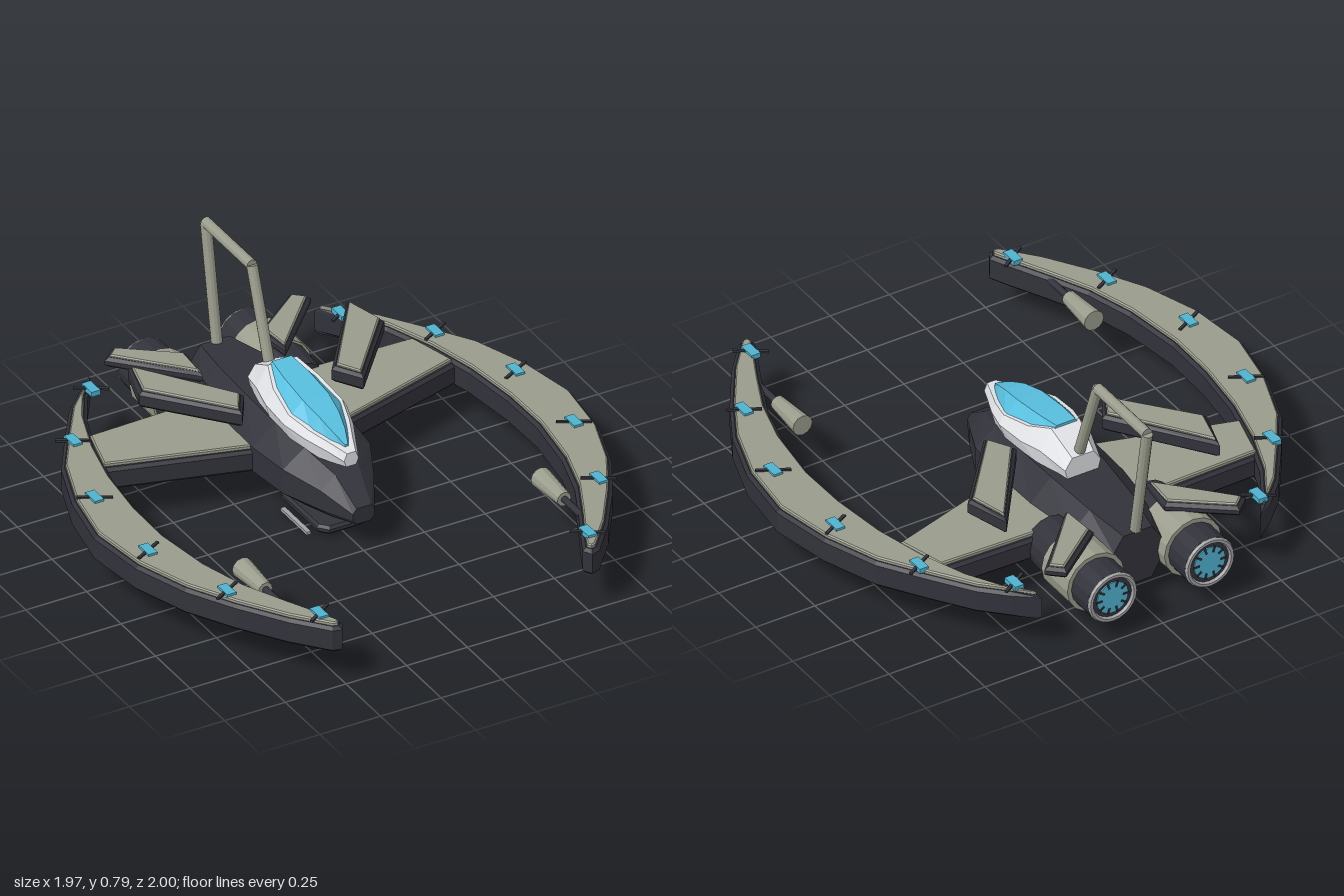
import * as THREE from 'three';

const mat = (name, color, flatShading = false) => {
  const m = new THREE.MeshStandardMaterial({ color });
  m.name = name;
  m.flatShading = flatShading;
  return m;
};

export function createModel() {
  const root = new THREE.Group();
  root.name = 'spacecraft';
  const dark = mat('dark hull', 0x32323b, true);
  const khaki = mat('khaki plating', 0x9a9c8c, true);
  const white = mat('white canopy frame', 0xe2e4e8, true);
  const glass = mat('blue glass', 0x58bfdf, true);
  const lamp = mat('blue lamp', 0x4fb3d0, true);
  const grey = mat('grey trim', 0xa2a2a4, true);

  const add = (name, geo, material, parent = root) => {
    const m = new THREE.Mesh(geo, material);
    m.name = name;
    parent.add(m);
    return m;
  };

  // Bevelled plate: [x, z] outline raised from y0 to y1
  const plate = (pts, y0, y1, bevel, inset = 0) => {
    const shape = new THREE.Shape(pts.map(([x, z]) => new THREE.Vector2(x, -z)));
    const g = new THREE.ExtrudeGeometry(shape, {
      depth: y1 - y0 - 2 * bevel, bevelEnabled: true, bevelSegments: 1,
      bevelSize: bevel, bevelThickness: bevel, bevelOffset: -bevel - inset,
    });
    return g.rotateX(-Math.PI / 2).translate(0, y0 + bevel, 0);
  };

  // Dark slab with an inset khaki top
  const slab = (name, pts, y0, y1, y2, inset, parent) => {
    add(name, plate(pts, y0, y1, 0.012), dark, parent);
    add(name + 'Top', plate(pts, y1 - 0.02, y2, 0.005, inset), khaki, parent);
  };

  // Skin over rings of [x, y], ordered front to back, each counterclockwise seen from the front
  const loft = (sections) => {
    const pos = [];
    const tri = (...v) => v.forEach((p) => pos.push(...p));
    const rings = sections.map(({ z, ring }) => ring.map(([x, y]) => [x, y, z]));
    const n = rings[0].length;
    for (let s = 0; s < rings.length - 1; s++) {
      const a = rings[s], b = rings[s + 1];
      for (let i = 0; i < n; i++) {
        const j = (i + 1) % n;
        tri(a[i], b[i], a[j]);
        tri(a[j], b[i], b[j]);
      }
    }
    const f = rings[0], r = rings[rings.length - 1];
    for (let i = 1; i < n - 1; i++) {
      tri(f[0], f[i], f[i + 1]);
      tri(r[0], r[i + 1], r[i]);
    }
    const g = new THREE.BufferGeometry();
    g.setAttribute('position', new THREE.Float32BufferAttribute(pos, 3));
    g.computeVertexNormals();
    return g;
  };
  // Symmetric ring from its right half, bottom to top
  const ring = (half) => [...half, ...half.slice().reverse().map(([x, y]) => [-x, y])];

  // Cylinder between two points
  const rod = (name, a, b, ra, rb, material, parent = root, sides = 12) => {
    const A = new THREE.Vector3(...a), B = new THREE.Vector3(...b);
    const d = B.clone().sub(A);
    const m = add(name, new THREE.CylinderGeometry(rb, ra, d.length(), sides), material, parent);
    m.position.copy(A).add(B).multiplyScalar(0.5);
    m.quaternion.setFromUnitVectors(new THREE.Vector3(0, 1, 0), d.normalize());
    return m;
  };

  // Hull: z, half width, bottom, lower side, upper side, top, bottom and top half widths
  add('hull', loft([
    [0.25, 0.045, 0.12, 0.14, 0.165, 0.185, 0.03, 0.03],
    [0.13, 0.11, 0.095, 0.14, 0.22, 0.27, 0.06, 0.05],
    [-0.02, 0.18, 0.075, 0.15, 0.25, 0.315, 0.09, 0.09],
    [-0.2, 0.2, 0.055, 0.15, 0.25, 0.33, 0.1, 0.11],
    [-0.42, 0.195, 0.042, 0.15, 0.25, 0.335, 0.1, 0.11],
    [-0.65, 0.165, 0.06, 0.15, 0.25, 0.32, 0.08, 0.09],
    [-0.83, 0.1, 0.08, 0.15, 0.24, 0.3, 0.06, 0.06],
  ].map(([z, w, yb, y1, y2, yt, wb, wt]) => ({ z, ring: ring([[wb, yb], [w, y1], [w, y2], [wt, yt]]) }))), dark);

  // Canopy frame: z, base half width, base y, side half width, side y, top half width, top y
  add('canopyFrame', loft([
    [0.16, 0.02, 0.31, 0.03, 0.335, 0.018, 0.365],
    [0.09, 0.045, 0.3, 0.06, 0.35, 0.045, 0.378],
    [0, 0.08, 0.295, 0.1, 0.365, 0.082, 0.395],
    [-0.1, 0.1, 0.3, 0.13, 0.38, 0.11, 0.415],
    [-0.24, 0.1, 0.3, 0.127, 0.39, 0.095, 0.445],
    [-0.34, 0.09, 0.3, 0.108, 0.4, 0.06, 0.48],
    [-0.46, 0.06, 0.31, 0.075, 0.37, 0.045, 0.415],
  ].map(([z, a, ya, b, yb, c, yc]) => ({ z, ring: ring([[a, ya], [b, yb], [c, yc]]) }))), white);

  // Canopy glass: z, lower half width and y, upper half width and y
  add('canopyGlass', loft([
    [0.125, 0.01, 0.35, 0.006, 0.38],
    [0.07, 0.045, 0.365, 0.025, 0.41],
    [0, 0.075, 0.38, 0.04, 0.438],
    [-0.1, 0.106, 0.405, 0.052, 0.46],
    [-0.24, 0.088, 0.435, 0.05, 0.478],
    [-0.345, 0.056, 0.465, 0.04, 0.488],
  ].map(([z, a, ya, b, yb]) => ({ z, ring: ring([[a, ya], [b, yb]]) }))), glass);

  // Tall roll bar behind the canopy
  const bar = [[0, 0.4, -0.43], [0, 0.765, -0.56], [0, 0.765, -0.895], [0, 0.3, -0.815]];
  for (let i = 0; i < 3; i++) rod('rollBar', bar[i], bar[i + 1], 0.021, 0.021, khaki);

  // Belly plate
  add('bellyPlate', plate([[-0.1, -0.17], [-0.07, -0.2], [0.07, -0.2], [0.1, -0.17],
    [0.1, 0.09], [0.07, 0.125], [-0.07, 0.125], [-0.1, 0.09]], 0.017, 0.05, 0.01), dark);

  const crescent = [
    [0.46, -0.92], [0.55, -0.85], [0.64, -0.76], [0.75, -0.6], [0.86, -0.43], [0.94, -0.21], [0.985, 0.03],
    [0.955, 0.28], [0.88, 0.5], [0.78, 0.68], [0.66, 0.86], [0.55, 0.99], [0.515, 1], [0.495, 0.965],
    [0.53, 0.89], [0.6, 0.75], [0.675, 0.59], [0.73, 0.4], [0.763, 0.16], [0.76, -0.05],
    [0.733, -0.28], [0.685, -0.48], [0.615, -0.67], [0.54, -0.8],
  ];
  const lamps = [[0.515, -0.82, 0.55], [0.745, -0.545, 0.52], [0.867, -0.175, 0.5],
    [0.877, 0.23, -0.5], [0.766, 0.605, -0.52], [0.553, 0.9, -0.6]];

  for (const s of [1, -1]) {
    const side = new THREE.Group();
    side.name = s > 0 ? 'leftSide' : 'rightSide';
    root.add(side);
    const flip = (pts) => pts.map(([x, z]) => [s * x, z]);

    // Crescent, wing and raised fins
    slab('crescent', flip(crescent), 0.14, 0.245, 0.26, 0.016, side);
    slab('wing', flip([[0.12, -0.6], [0.68, -0.585], [0.74, -0.36], [0.12, -0.18]]), 0.145, 0.235, 0.25, 0.02, side);
    slab('upperFin', flip([[0.45, -0.665], [0.505, -0.49], [0.25, -0.19], [0.18, -0.3]]), 0.355, 0.42, 0.43, 0.016, side);
    slab('rearFin', flip([[0.365, -0.935], [0.425, -0.88], [0.17, -0.615], [0.15, -0.77]].map(
      ([x, z]) => [x, z])), 0.288, 0.328, 0.337, 0.014, side);

    // Lamps on clips along the crescent
    for (const [x, z, a] of lamps) {
      const clip = add('lampClip', new THREE.BoxGeometry(0.13, 0.008, 0.012), dark, side);
      clip.position.set(s * x, 0.262, z);
      clip.rotation.y = s * a;
      add('lamp', new THREE.BoxGeometry(0.037, 0.02, 0.072), lamp, side).position.set(s * x, 0.259, z);
    }

    // Guns inside the crescent
    rod('gunPod', [s * 0.615, 0.228, 0.45], [s * 0.615, 0.228, 0.62], 0.041, 0.028, khaki, side);
    rod('gunBarrel', [s * 0.615, 0.228, 0.61], [s * 0.615, 0.228, 0.77], 0.013, 0.013, dark, side);

    // Engine: dark intake, khaki band, dark nozzle and lit exhaust
    const ex = s * 0.205, ey = 0.182;
    const drum = (name, z0, z1, r0, r1, m) => rod(name, [ex, ey, z0], [ex, ey, z1], r0, r1, m, side, 16);
    drum('engineIntake', -0.56, -0.71, 0.1, 0.112, dark);
    drum('engineBand', -0.7, -0.875, 0.12, 0.12, khaki);
    drum('engineNozzle', -0.87, -0.985, 0.103, 0.103, dark);
    add('nozzleRing', new THREE.TorusGeometry(0.092, 0.011, 6, 24), grey, side).position.set(ex, ey, -0.987);
    drum('exhaustGlow', -0.98, -0.99, 0.066, 0.066, lamp);
    for (let i = 0; i < 10; i++) {
      const a = (i / 10) * Math.PI * 2;
      const vane = add('exhaustVane', new THREE.BoxGeometry(0.024, 0.008, 0.006), dark, side);
      vane.position.set(ex + Math.cos(a) * 0.056, ey + Math.sin(a) * 0.056, -0.99);
      vane.rotation.z = a;
    }

    // Landing rail
    add('landingRail', new THREE.BoxGeometry(0.018, 0.012, 0.19), grey, side).position.set(s * 0.118, 0.006, -0.035);
  }
  return root;
}
